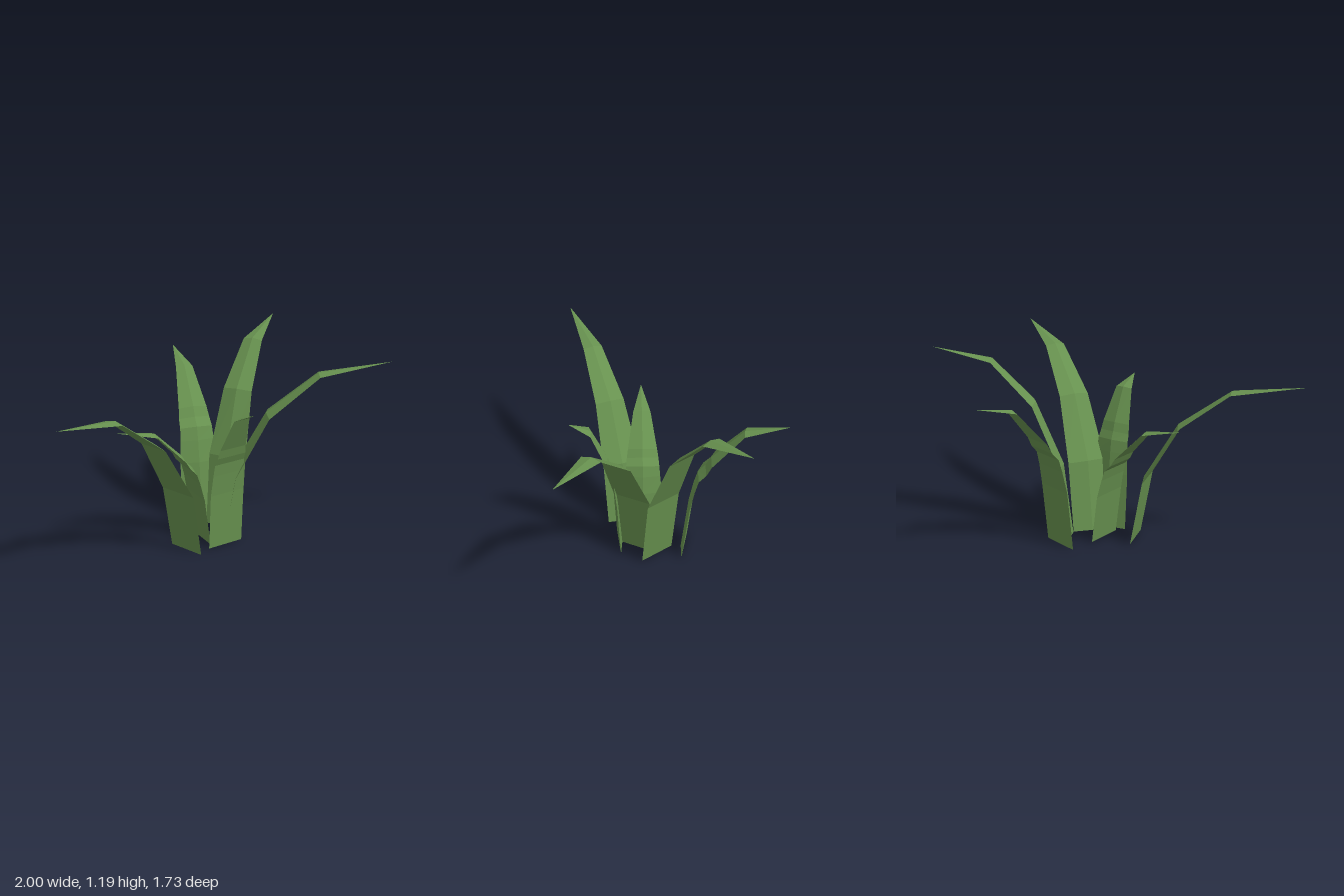
import * as THREE from 'three';

const leafGreen = new THREE.MeshStandardMaterial({ color: 0x67914f, flatShading: true });
leafGreen.name = 'leafGreen';

// Blade stations: [outward fraction, height fraction, half width]
const SMOOTH = [[0, 0, 0.12], [0.07, 0.38, 0.123], [0.27, 0.71, 0.095], [0.57, 0.93, 0.062], [1, 1, 0]];
const KINKED = [[0, 0, 0.12], [0.07, 0.38, 0.12], [0.115, 0.52, 0.11], [0.15, 0.6, 0.105],
  [0.22, 0.65, 0.1], [0.27, 0.71, 0.092], [0.57, 0.93, 0.055], [1, 1, 0]];
const RIDGE = 0.022;

// Arching blade with a flat underside and a low ridge along its inner face
function bladeGeometry(base, tip, stations) {
  const reach = new THREE.Vector3(tip[0] - base[0], 0, tip[2] - base[1]);
  const length = reach.length();
  const heading = reach.clone().normalize();
  const side = new THREE.Vector3(heading.z, 0, -heading.x);
  const spine = stations.map(([r, h]) => [r * length, h * tip[1]]);
  const positions = [];
  const index = [];
  const last = stations.length - 1;

  stations.forEach(([, , half], i) => {
    const [r, y] = spine[i];
    const centre = new THREE.Vector3(base[0], y, base[1]).addScaledVector(heading, r);
    const before = spine[Math.max(i - 1, 0)];
    const after = spine[Math.min(i + 1, last)];
    // The base is cut level; elsewhere the ridge stands square to the spine
    const dr = i === 0 ? 0 : after[0] - before[0];
    const dy = after[1] - before[1];
    const normal = heading.clone().multiplyScalar(-dy).setY(dr).normalize();
    const ridge = i === last ? 0 : RIDGE * Math.min(1, half / 0.1);
    positions.push(
      ...centre.clone().addScaledVector(side, -half).toArray(),
      ...centre.clone().addScaledVector(side, half).toArray(),
      ...centre.clone().addScaledVector(normal, ridge).toArray(),
    );
  });

  index.push(0, 2, 1);
  for (let i = 0; i < last; i++) {
    for (let k = 0; k < 3; k++) {
      const a = i * 3 + k;
      const b = i * 3 + (k + 1) % 3;
      index.push(a, b, b + 3);
      if (i < last - 1) index.push(a, b + 3, a + 3);
      }
  }

  const indexed = new THREE.BufferGeometry();
  indexed.setAttribute('position', new THREE.Float32BufferAttribute(positions, 3));
  indexed.setIndex(index);
  const geometry = indexed.toNonIndexed();
  geometry.computeVertexNormals();
  return geometry;
}

export function createModel() {
  const plant = new THREE.Group();
  plant.name = 'grassTuft';

  // Each leaf: base centre [x, z] and tip [x, y, z]
  const leaves = [
    { name: 'leftLeaf', base: [0, 0.02], tip: [1, 1.13, 0.13], stations: SMOOTH },
    { name: 'backLeftLeaf', base: [0.02, -0.122], tip: [0.44, 1.19, -0.82], stations: SMOOTH },
    { name: 'frontRightLeaf', base: [-0.25, 0.19], tip: [-1, 1.055, 0.86], stations: SMOOTH },
    { name: 'backRightLeaf', base: [-0.11, -0.26], tip: [-0.22, 0.985, -0.87], stations: KINKED },
    { name: 'rightLeaf', base: [-0.14, 0.03], tip: [-0.65, 0.79, 0.23], stations: KINKED },
    { name: 'frontLeaf', base: [-0.005, 0.145], tip: [0.13, 0.93, 0.41], stations: KINKED },
  ];
  for (const { name, base, tip, stations } of leaves) {
    const leaf = new THREE.Mesh(bladeGeometry(base, tip, stations), leafGreen);
    leaf.name = name;
    plant.add(leaf);
  }
  return plant;
}
